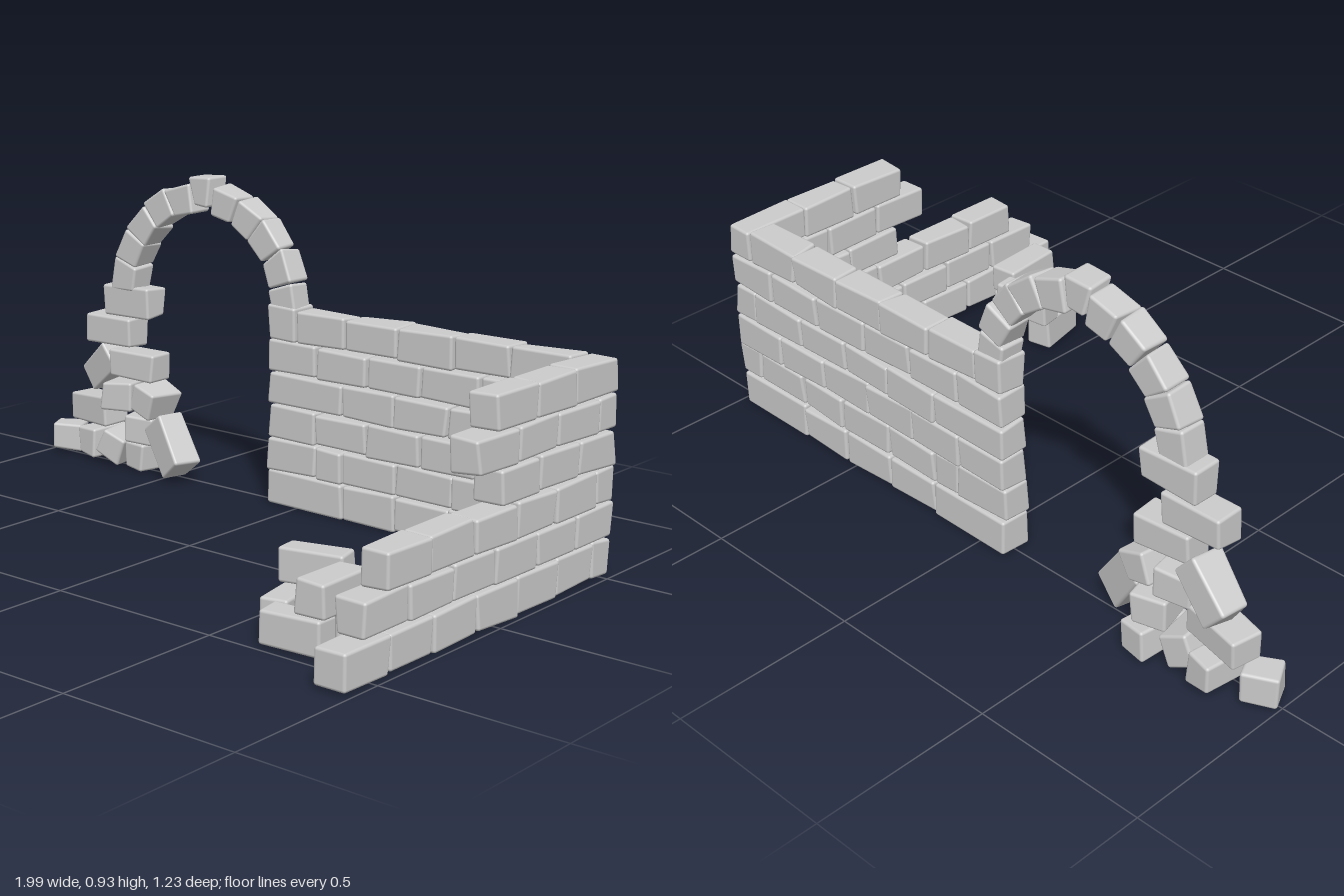
import * as THREE from 'three';
import { RoundedBoxGeometry } from 'three/addons/geometries/RoundedBoxGeometry.js';

const material = new THREE.MeshStandardMaterial({ color: 0xcccccc });
const THICK = 0.086;   // wall thickness
const BACK_Z = -0.497; // centre line of the back wall
const SIDE_X = 0.942;  // centre line of the side wall

// small seeded generator, -1..1
let seed = 7;
function rand() {
  seed = (seed * 16807) % 2147483647;
  return (seed / 2147483647) * 2 - 1;
}

// one worn brick: rounded box with each of its eight corners nudged;
// a radius turns it into a wedge for the arch
function brick(parent, name, size, position, rotation = [0, 0, 0], radius = 0, wear = 0.004) {
  const geometry = new RoundedBoxGeometry(size[0], size[1], size[2], 2, 0.008);
  const corners = Array.from({ length: 8 }, () => [rand() * wear, rand() * wear, rand() * wear]);
  const p = geometry.attributes.position;
  for (let i = 0; i < p.count; i++) {
    const x = p.getX(i), y = p.getY(i), z = p.getZ(i);
    const c = corners[(x > 0 ? 1 : 0) + (y > 0 ? 2 : 0) + (z > 0 ? 4 : 0)];
    const widen = radius ? (radius + y) / radius : 1;
    p.setXYZ(i, x * widen + c[0], y + c[1], z + c[2]);
  }
  const mesh = new THREE.Mesh(geometry, material);
  mesh.name = name;
  mesh.position.set(...position);
  mesh.rotation.set(...rotation);
  parent.add(mesh);
  return mesh;
}

function section(parent, name) {
  const g = new THREE.Group();
  g.name = name;
  parent.add(g);
  return g;
}

// bottom and top of each course
const courses = [[0.01, 0.107], [0.112, 0.203], [0.208, 0.3], [0.305, 0.395], [0.402, 0.492], [0.497, 0.587]];

// joints along x for the back wall, bottom course first
const backJoints = [
  [-0.1, 0.17, 0.35, 0.53, 0.71, 0.985],
  [-0.1, 0.08, 0.17, 0.35, 0.54, 0.71, 0.898],
  [-0.1, 0.07, 0.25, 0.43, 0.61, 0.79, 0.985],
  [-0.1, 0.16, 0.34, 0.52, 0.7, 0.898],
  [-0.1, 0.07, 0.25, 0.43, 0.62, 0.81, 0.985],
  [0, 0.17, 0.35, 0.53, 0.71, 0.898],
];

// joints along z for the side wall, from its broken end to the corner
const sideJoints = [
  [0.615, 0.435, 0.257, 0.08, -0.1, -0.28, -0.453],
  [0.53, 0.355, 0.175, 0, -0.18, -0.36, -0.54],
  [0.45, 0.275, 0.095, -0.085, -0.26, -0.453],
  [-0.007, -0.185, -0.365, -0.54],
  [0.097, -0.08, -0.26, -0.453],
  [0.02, -0.16, -0.34, -0.54],
];

export function createModel() {
  seed = 7;
  const model = new THREE.Group();
  model.name = 'ruinedWall';

  // two walls, bonded alternately at the corner
  const backWall = section(model, 'backWall');
  const sideWall = section(model, 'sideWall');
  courses.forEach(([y0, y1], row) => {
    const y = (y0 + y1) / 2, h = y1 - y0;
    const xs = backJoints[row], zs = sideJoints[row];
    for (let i = 0; i < xs.length - 1; i++) {
      brick(backWall, 'backWallBrick', [xs[i + 1] - xs[i] - 0.004, h, THICK],
        [(xs[i] + xs[i + 1]) / 2, y, BACK_Z + rand() * 0.003]);
    }
    for (let i = 0; i < zs.length - 1; i++) {
      brick(sideWall, 'sideWallBrick', [THICK, h, zs[i] - zs[i + 1] - 0.004],
        [SIDE_X + rand() * 0.003, y, (zs[i] + zs[i + 1]) / 2]);
    }
  });

  // arch of wedge bricks springing from the wall end
  const arch = section(model, 'arch');
  const cx = -0.358, cy = 0.562, radius = 0.307;
  brick(arch, 'springer', [0.098, 0.1, THICK], [-0.051, 0.546, BACK_Z]);
  const perSide = 5, span = 83 / perSide;
  for (const side of [-1, 1]) {
    for (let i = 0; i < perSide; i++) {
      const a = THREE.MathUtils.degToRad(7 + span * (i + 0.5));
      const width = radius * THREE.MathUtils.degToRad(span) - 0.002;
      brick(arch, 'archBrick', [width, 0.086, THICK - 0.003],
        [cx + side * Math.sin(a) * radius, cy + Math.cos(a) * radius, BACK_Z + rand() * 0.003],
        [0, 0, -side * a], radius);
    }
  }
  brick(arch, 'keystone', [0.07, 0.084, THICK - 0.006], [cx - 0.006, 0.889, BACK_Z], [0, 0, 0.04], 0.15);

  // crumbling pier: [x, y, z, width, height, depth, pitch, yaw, roll]
  const pier = section(model, 'brokenPier');
  [
    [-0.658, 0.528, -0.497, 0.175, 0.092, 0.086, 0, 0, 0.02],
    [-0.73, 0.432, -0.497, 0.18, 0.088, 0.086, 0, 0, 0],
    [-0.818, 0.296, -0.555, 0.155, 0.092, 0.09, 0.1, -0.15, 0.7],
    [-0.637, 0.332, -0.495, 0.168, 0.084, 0.088, 0, 0.05, -0.02],
    [-0.69, 0.235, -0.5, 0.108, 0.084, 0.14, 0, 0.2, 0.03],
    [-0.578, 0.228, -0.5, 0.088, 0.086, 0.12, 0, -0.1, -0.35],
    [-0.835, 0.162, -0.525, 0.178, 0.088, 0.09, 0, -0.2, 0.06],
    [-0.62, 0.138, -0.515, 0.1, 0.082, 0.14, 0, 0.25, -0.04],
    [-0.478, 0.112, -0.465, 0.165, 0.1, 0.088, 0, -0.25, -0.93],
    [-0.94, 0.06, -0.505, 0.095, 0.086, 0.08, 0, 0.45, 0],
    [-0.825, 0.063, -0.53, 0.078, 0.09, 0.14, 0, -0.15, 0.03],
    [-0.72, 0.068, -0.51, 0.088, 0.088, 0.14, 0, 0.1, -0.4],
    [-0.615, 0.05, -0.53, 0.08, 0.084, 0.15, 0, -0.15, -0.06],
  ].forEach(([x, y, z, w, h, d, ...rot]) => brick(pier, 'pierBrick', [w, h, d], [x, y, z], rot));

  // loose stack lying inside the corner
  const stack = section(model, 'looseStack');
  [
    [0.722, 0.056, 0.444, 0.178, 0.092, 0.07, 0, 0.06, 0],
    [0.602, 0.056, 0.33, 0.075, 0.092, 0.16, 0, 0.2, 0],
    [0.73, 0.056, 0.27, 0.16, 0.092, 0.07, 0, -0.7, 0],
    [0.772, 0.15, 0.375, 0.085, 0.088, 0.185, 0, 0.04, 0],
    [0.632, 0.15, 0.25, 0.18, 0.088, 0.07, 0, 0.17, 0.03],
  ].forEach(([x, y, z, w, h, d, ...rot]) => brick(stack, 'looseBrick', [w, h, d], [x, y, z], rot));

  return model;
}
